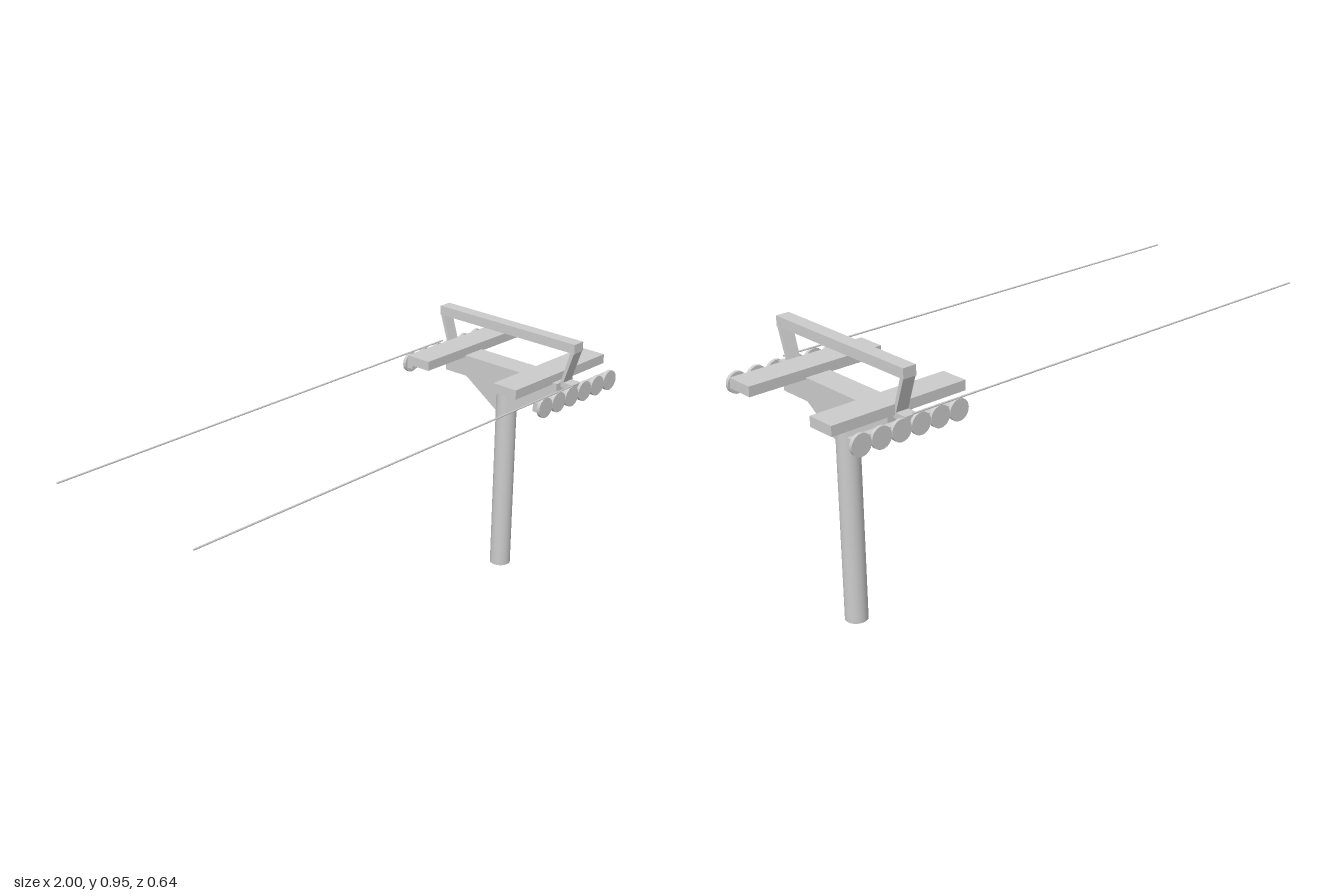
import * as THREE from 'three';

const CX = 0.748; // tower axis
const mat = new THREE.MeshStandardMaterial({ color: 0xcccccc });

function add(parent, name, geometry, x = 0, y = 0, z = 0) {
  const mesh = new THREE.Mesh(geometry, mat);
  mesh.name = name;
  mesh.position.set(x, y, z);
  parent.add(mesh);
  return mesh;
}

// Box given by its min/max along each axis
function span(parent, name, x0, x1, y0, y1, z0, z1) {
  return add(parent, name, new THREE.BoxGeometry(x1 - x0, y1 - y0, z1 - z0),
    (x0 + x1) / 2, (y0 + y1) / 2, (z0 + z1) / 2);
}

// Plate with a [z, y] outline, given a thickness along x and centred on the tower
function plate(parent, name, points, width, side) {
  const shape = new THREE.Shape(points.map(([z, y]) => new THREE.Vector2(z * side, y)));
  const geo = new THREE.ExtrudeGeometry(shape, { depth: width, bevelEnabled: false });
  geo.translate(0, 0, -width / 2).rotateY(-Math.PI / 2);
  return add(parent, name, geo, CX);
}

export function createModel() {
  const model = new THREE.Group();
  model.name = 'ropewayTower';

  // Mast and crossbeam
  add(model, 'mast', new THREE.CylinderGeometry(0.038, 0.038, 0.725, 32), CX, 0.3625, 0);
  span(model, 'crossbeam', CX - 0.046, CX + 0.046, 0.724, 0.802, -0.256, 0.256);

  // Lifting frame top bar
  span(model, 'liftingFrameBar', CX - 0.024, CX + 0.024, 0.919, 0.953, -0.307, 0.307);

  // Walkways, both shifted slightly towards the back
  for (const z of [0.187, -0.213]) {
    span(model, 'walkway', 0.5, 1.0, 0.796, 0.83, z - 0.05, z + 0.05);
  }

  for (const side of [1, -1]) {
    const group = new THREE.Group();
    group.name = side > 0 ? 'frontSheaveSide' : 'backSheaveSide';
    model.add(group);
    const shift = side > 0 ? 0 : 0.014;

    // Gusset bracing the crossbeam, and the slanted leg of the lifting frame
    plate(group, 'gusset', [[0.02, 0.725], [0.192, 0.725], [0.035, 0.622], [0.02, 0.622]], 0.048, side);
    plate(group, 'liftingFrameLeg', [[0.307, 0.925], [0.29, 0.919], [0.25, 0.79], [0.262, 0.79]], 0.046, side);

    // Arm carrying the wheel beam
    const box = (name, x0, x1, y0, y1, z0, z1) =>
      span(group, name, x0, x1, y0, y1, Math.min(z0 * side, z1 * side), Math.max(z0 * side, z1 * side));
    box('sheaveArm', CX - 0.024, CX + 0.024, 0.786, 0.804, 0.245, 0.31);
    box('sheaveBeam', 0.536 + shift, 0.948 + shift, 0.757, 0.79, 0.284, 0.31);

    // Row of cable wheels
    for (let i = 0; i < 6; i++) {
      const wheel = new THREE.CylinderGeometry(0.036, 0.036, 0.012, 24).rotateX(Math.PI / 2);
      add(group, 'sheaveWheel', wheel, 0.561 + i * 0.073 + shift, 0.772, 0.315 * side);
    }

    // Haul cable
    const path = new THREE.LineCurve3(
      new THREE.Vector3(-1, 0.801, 0.316 * side), new THREE.Vector3(CX, 0.81, 0.316 * side));
    add(group, 'cable', new THREE.TubeGeometry(path, 1, 0.003, 8)).material.side = THREE.DoubleSide;
  }
  return model;
}
